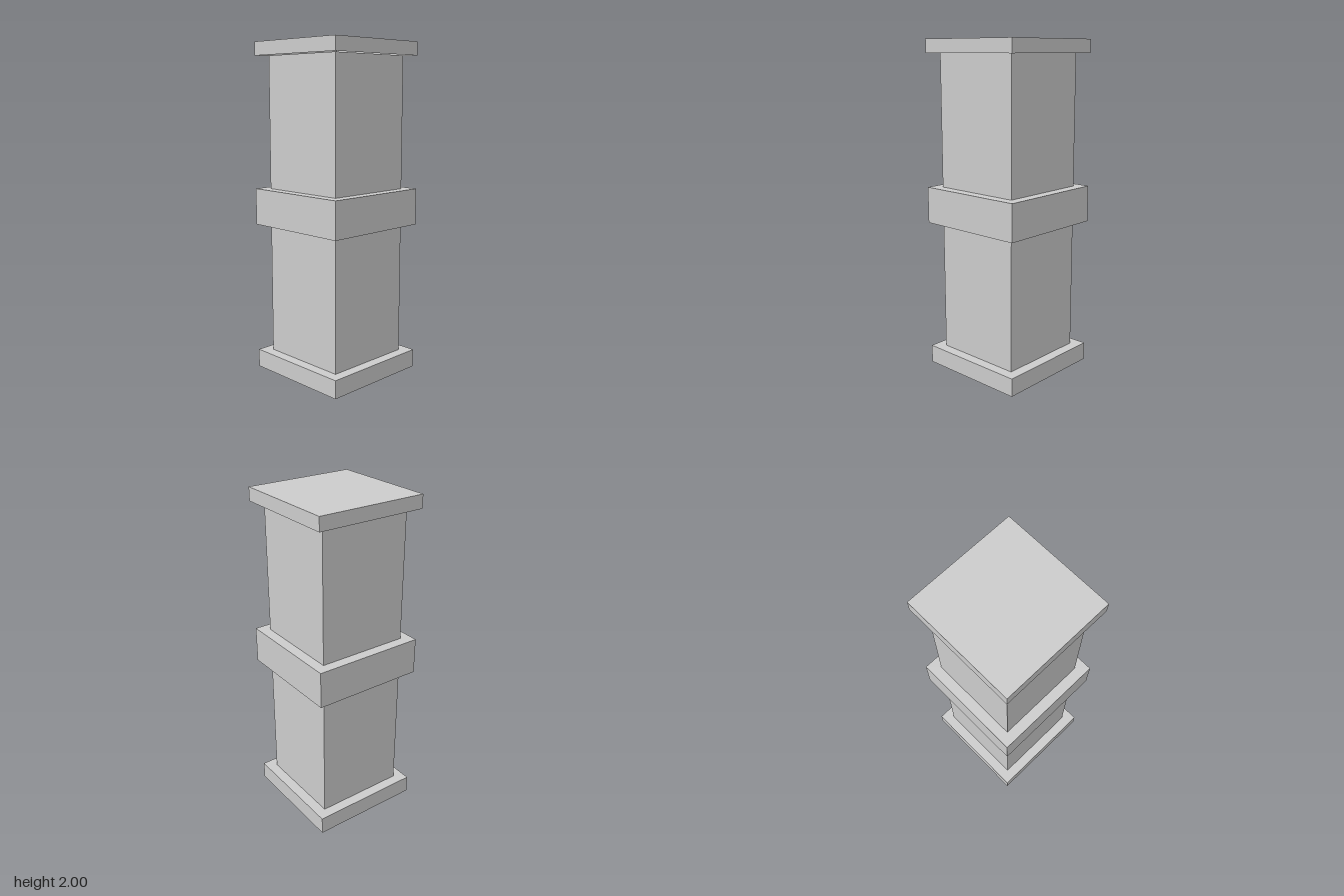
import * as THREE from 'three';

const material = new THREE.MeshStandardMaterial({ color: 0xcccccc, flatShading: true });
const shellMaterial = new THREE.MeshStandardMaterial({ color: 0xcccccc, flatShading: true, side: THREE.DoubleSide });

// Square block between two heights
function block(name, width, bottom, top) {
  const mesh = new THREE.Mesh(new THREE.BoxGeometry(width, top - bottom, width), material);
  mesh.position.y = (bottom + top) / 2;
  mesh.name = name;
  return mesh;
}

export function createModel() {
  const pillar = new THREE.Group();
  pillar.name = 'pillar';

  // Base, lower shaft, middle band and upper shaft
  pillar.add(
    block('base', 0.686, 0, 0.11),
    block('lowerShaft', 0.558, 0.11, 0.912),
    block('middleBand', 0.686, 0.912, 1.132),
    block('upperShaft', 0.558, 1.132, 1.92)
  );

  // Cap: a thin lid, open underneath (the box's bottom face is left out)
  const cap = block('cap', 0.676, 1.92, 2);
  const faces = Array.from(cap.geometry.index.array);
  faces.splice(18, 6);
  cap.geometry.setIndex(faces);
  cap.geometry.clearGroups();
  cap.material = shellMaterial;
  pillar.add(cap);

  return pillar;
}
